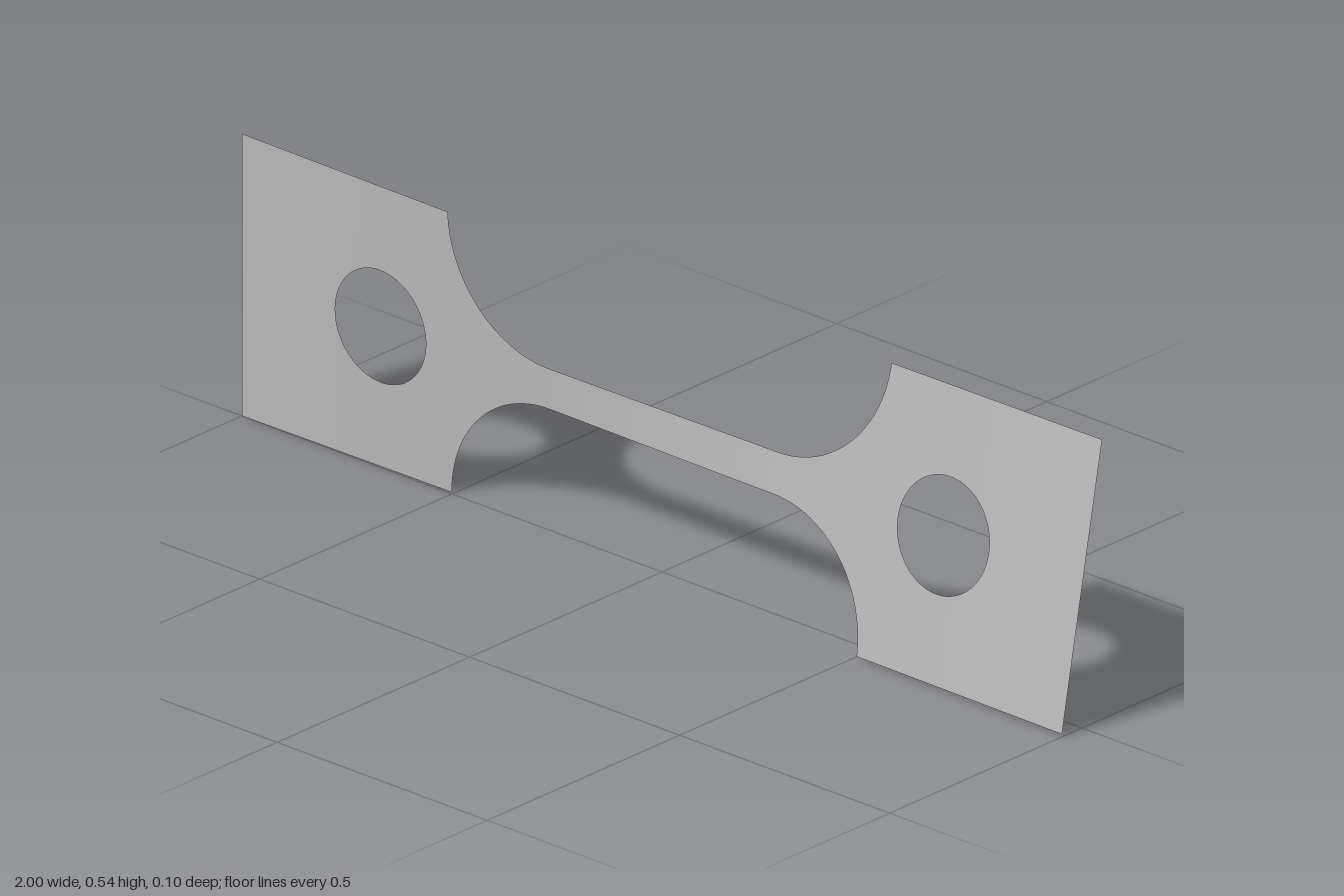
import * as THREE from 'three';
import { mergeGeometries } from 'three/addons/utils/BufferGeometryUtils.js';

const HALF = 0.271;        // half height of the grips
const NECK = 0.039;        // half height of the narrow bar
const FILLET = 0.235;      // shoulder radius
const NECK_END = 0.27;     // where the shoulder starts
const SHOULDER = NECK_END + FILLET;
const HOLE_X = 0.67, HOLE_R = 0.108;

// Twist of the sheet about its long axis: [x, degrees]
const TWIST = [[-1, 0], [-0.51, 1.1], [-0.25, 0.6], [0.27, -8.2], [0.51, -9.7], [1, -11.1]];

function twistAt(x) {
  let i = 0;
  while (i < TWIST.length - 2 && x > TWIST[i + 1][0]) i++;
  const [x0, a0] = TWIST[i], [x1, a1] = TWIST[i + 1];
  return THREE.MathUtils.degToRad(a0 + (a1 - a0) * (x - x0) / (x1 - x0));
}

// Columns are [x, inner half height, outer half height], ordered by rising x;
// each is mirrored above and below the axis, then twisted.
function sheet(columns) {
  const halves = [1, -1].map((side) => {
    const pos = [], index = [];
    columns.forEach(([x, lo, hi], i) => {
      const a = twistAt(x);
      for (const h of [lo, hi]) {
        const y = side * h;
        pos.push(x, HALF + y * Math.cos(a), y * Math.sin(a));
      }
      if (i === 0) return;
      const p = 2 * (i - 1);
      if (side > 0) index.push(p, p + 2, p + 3, p, p + 3, p + 1);
      else index.push(p, p + 3, p + 2, p, p + 1, p + 3);
    });
    const g = new THREE.BufferGeometry();
    g.setAttribute('position', new THREE.Float32BufferAttribute(pos, 3));
    g.setIndex(index);
    g.computeVertexNormals();
    return g;
  });
  return mergeGeometries(halves);
}

export function createModel() {
  const group = new THREE.Group();
  const metal = new THREE.MeshStandardMaterial({ color: 0xb8b8b8, side: THREE.DoubleSide });
  metal.name = 'grey metal';
  const add = (name, columns) => {
    const mesh = new THREE.Mesh(sheet(columns), metal);
    mesh.name = name;
    group.add(mesh);
  };

  // Narrow bar
  const bar = [];
  for (let i = 0; i <= 24; i++) bar.push([NECK_END * (i / 12 - 1), 0, NECK]);
  add('gaugeBar', bar);

  // Rounded shoulder columns, from bar to grip
  const shoulder = [];
  for (let i = 0; i <= 24; i++) {
    const a = (i / 24) * Math.PI / 2;
    shoulder.push([NECK_END + FILLET * Math.sin(a), 0,
      Math.min(HALF, NECK + FILLET * (1 - Math.cos(a)))]);
  }

  // Grip columns, split around the round hole
  const grip = [[SHOULDER, 0, HALF]];
  for (let i = 0; i <= 32; i++) {
    const a = (i / 32) * Math.PI;
    grip.push([HOLE_X - HOLE_R * Math.cos(a), HOLE_R * Math.sin(a), HALF]);
  }
  for (const x of [0.85, 0.92, 1]) grip.push([x, 0, HALF]);

  // The same pieces on both ends
  for (const [label, s] of [['left', 1], ['right', -1]]) {
    const place = (cols) => {
      const out = cols.map(([x, lo, hi]) => [s * x, lo, hi]);
      return s > 0 ? out : out.reverse();
    };
    add(label + 'Shoulder', place(shoulder));
    add(label + 'Grip', place(grip));
  }
  return group;
}
